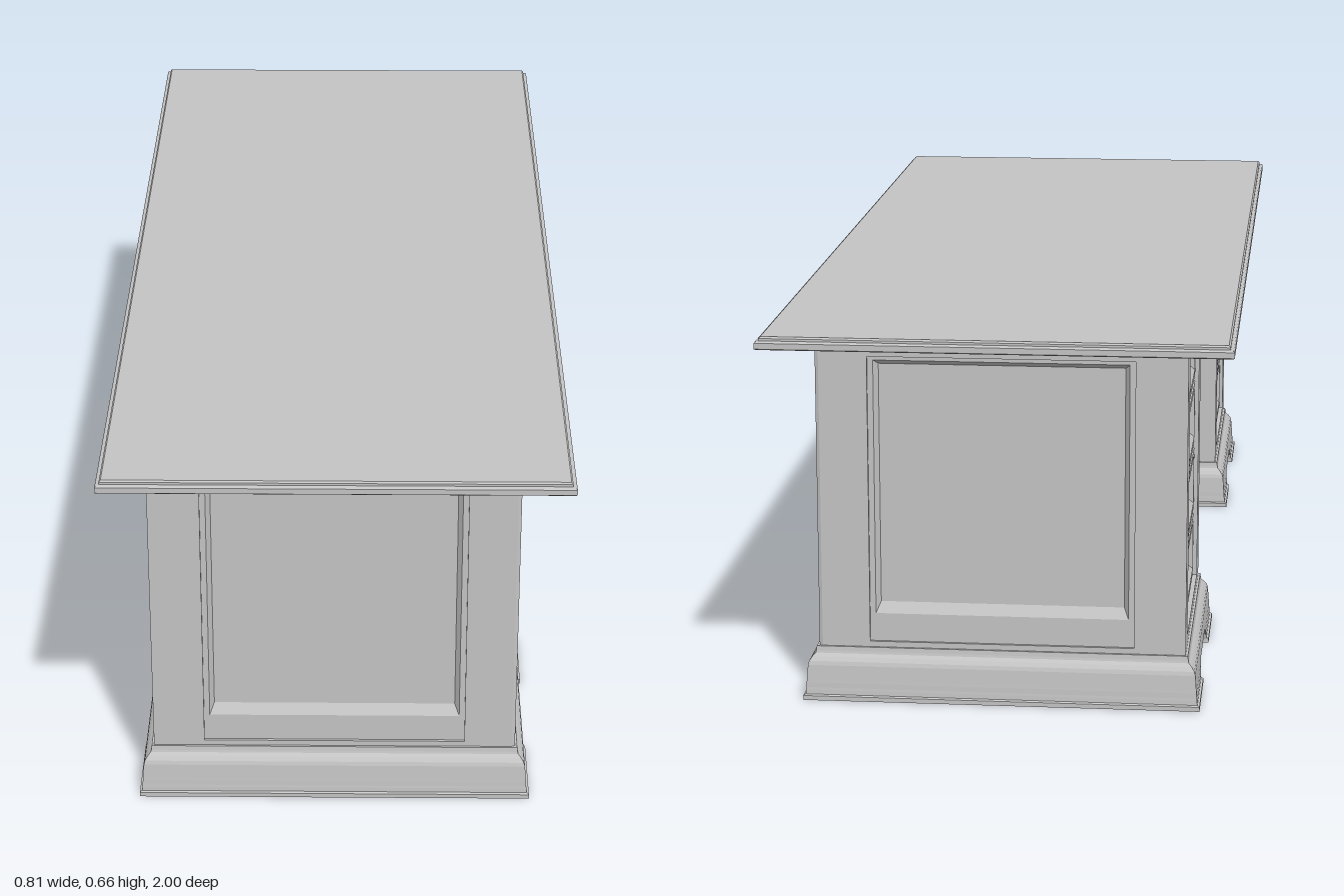
import * as THREE from 'three';

const grey = new THREE.MeshStandardMaterial({ color: 0xc4c4c4 });
grey.name = 'plain grey';

// Lofts rectangles [x0, x1, y0, y1, z] one after another and caps the last
// (and optionally the first); surfaces face +z.
function loftRects(rects, capFirst = false) {
  const pos = [];
  const corners = ([x0, x1, y0, y1, z]) => [[x0, y0, z], [x1, y0, z], [x1, y1, z], [x0, y1, z]];
  const quad = (a, b, c, d) => pos.push(...a, ...b, ...c, ...a, ...c, ...d);
  for (let k = 0; k < rects.length - 1; k++) {
    const a = corners(rects[k]), b = corners(rects[k + 1]);
    for (let i = 0; i < 4; i++) {
      const j = (i + 1) % 4;
      quad(a[i], a[j], b[j], b[i]);
    }
  }
  quad(...corners(rects[rects.length - 1]));
  if (capFirst) quad(...corners(rects[0]).reverse());
  const g = new THREE.BufferGeometry();
  g.setAttribute('position', new THREE.Float32BufferAttribute(pos, 3));
  g.computeVertexNormals();
  return g;
}

function add(parent, name, geometry) {
  const mesh = new THREE.Mesh(geometry, grey);
  mesh.name = name;
  parent.add(mesh);
  return mesh;
}

// Horizontal slab with a moulded edge: profile of [outward offset, y] from the bottom up
function mouldedSlab(halfX, halfZ, profile) {
  const rects = profile.map(([o, y]) => [-halfX - o, halfX + o, -halfZ - o, halfZ + o, y]);
  return loftRects(rects, true).rotateX(-Math.PI / 2);
}

const HX = 0.321, HZ = 0.2475, BOTTOM = 0.09, TOP = 0.642;

// Side with a recessed panel inside a flat frame
function panelSide(x0, x1) {
  return loftRects([
    [x0, x1, BOTTOM, TOP, 0],
    [-0.231, 0.231, 0.103, 0.613, 0],
    [-0.231, 0.231, 0.103, 0.613, -0.005],
    [-0.221, 0.221, 0.153, 0.606, -0.005],
    [-0.213, 0.213, 0.172, 0.598, -0.016],
  ]);
}

// Drawer front with a bevelled, sunken field
function drawerFront(w, h) {
  const r = (inset, z) => [-w / 2 + inset, w / 2 - inset, -h / 2 + inset, h / 2 - inset, z];
  return loftRects([r(0, 0), r(0, 0.012), r(0.003, 0.015), r(0.014, 0.015), r(0.024, 0.006)]);
}

function createPedestal() {
  const pedestal = new THREE.Group();
  pedestal.name = 'pedestal';

  // Panelled ends
  add(pedestal, 'frontPanel', panelSide(-HX, HX - 0.006)).position.z = HZ;
  const back = add(pedestal, 'backPanel', panelSide(-HX + 0.006, HX));
  back.rotation.y = Math.PI;
  back.position.z = -HZ;

  // Plain side with a small chamfer
  const plain = add(pedestal, 'plainSide', loftRects([
    [-HZ, HZ, BOTTOM, TOP, -0.006],
    [-HZ + 0.003, HZ - 0.003, BOTTOM, TOP, 0],
  ]));
  plain.rotation.y = Math.PI / 2;
  plain.position.x = HX;

  // Drawer side: a framed opening holding four drawers
  const drawers = new THREE.Group();
  drawers.name = 'drawerSide';
  drawers.rotation.y = -Math.PI / 2;
  drawers.position.x = -HX;
  pedestal.add(drawers);
  add(drawers, 'drawerFrame', loftRects([
    [-HZ, HZ, BOTTOM, TOP, 0],
    [-0.185, 0.185, 0.11, 0.615, 0],
    [-0.185, 0.185, 0.11, 0.615, -0.022],
  ]));
  for (let i = 0; i < 4; i++) {
    add(drawers, 'drawer', drawerFront(0.36, 0.119)).position.set(0, 0.173 + i * 0.1265, -0.022);
  }

  // Moulded plinth
  add(pedestal, 'plinth', mouldedSlab(HX, HZ, [
    [0.020, 0.036], [0.018, 0.062], [0.016, 0.069], [0.011, 0.076],
    [0.006, 0.081], [0.005, 0.085], [0.004, 0.093],
  ]));

  // Two long feet with scalloped inner edges, [outward offset, inner z, y]
  const foot = [
    [0.026, 0.115, 0], [0.026, 0.115, 0.008], [0.022, 0.114, 0.01],
    [0.0215, 0.112, 0.018], [0.021, 0.106, 0.022], [0.0205, 0.098, 0.031], [0.020, 0.084, 0.036],
  ];
  for (const side of [1, -1]) {
    const rects = foot.map(([o, inner, y]) => {
      const z = [side * inner, side * (HZ + o)].sort((a, b) => a - b);
      return [-HX - o, HX + o, z[0], z[1], y];
    });
    add(pedestal, 'foot', loftRects(rects, true).rotateX(-Math.PI / 2));
  }
  return pedestal;
}

export function createModel() {
  const desk = new THREE.Group();
  desk.name = 'desk';

  // Table top with stepped edge
  add(desk, 'tableTop', mouldedSlab(0.405, 1, [
    [-0.003, 0.64], [0, 0.642], [0, 0.652], [-0.002, 0.654],
    [-0.007, 0.655], [-0.007, 0.659], [-0.01, 0.662],
  ]));

  // Two pedestals
  for (const z of [0.673, -0.663]) {
    const p = createPedestal();
    p.position.set(-0.004, 0, z);
    desk.add(p);
  }

  // Centre drawer box over the knee space
  const box = add(desk, 'centreBox', new THREE.BoxGeometry(0.57, 0.097, 0.841));
  box.position.set(-0.01, 0.5935, 0.005);
  const front = add(desk, 'centreDrawer', drawerFront(0.82, 0.085));
  front.rotation.y = -Math.PI / 2;
  front.position.set(-0.295, 0.592, 0.005);

  return desk;
}
